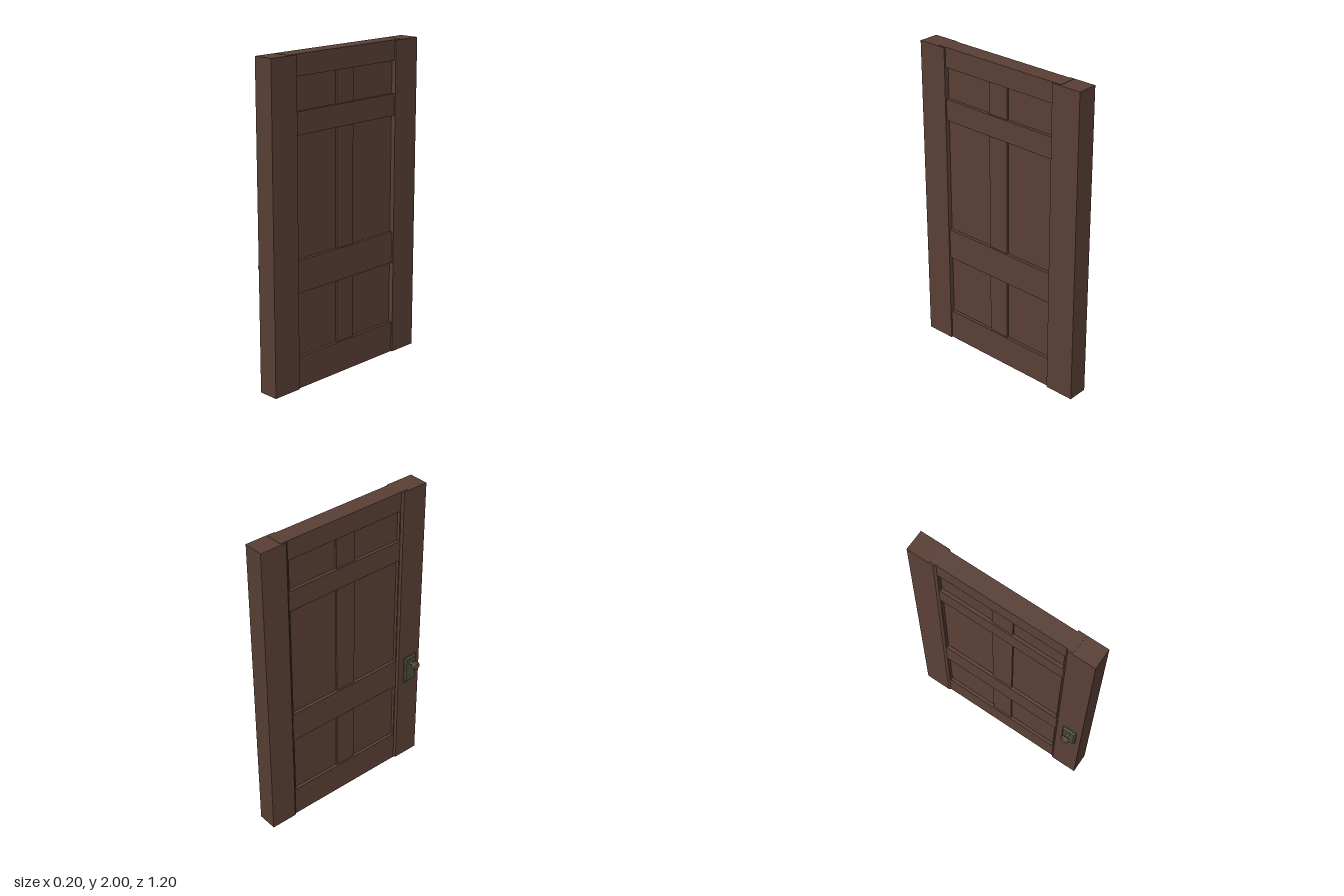
import * as THREE from 'three';

const wood = new THREE.MeshStandardMaterial({ color: 0x5a4036 });
const brass = new THREE.MeshStandardMaterial({ color: 0x62553f });
const darkBrass = new THREE.MeshStandardMaterial({ color: 0x4a4a3a });

export function createModel() {
  const door = new THREE.Group();
  door.name = 'panelDoor';

  const add = (name, geometry, material, parent = door) => {
    const mesh = new THREE.Mesh(geometry, material);
    mesh.name = name;
    parent.add(mesh);
    return mesh;
  };

  // Box given by its lower and upper limits on each axis
  const slab = (name, [x0, x1], [y0, y1], [z0, z1]) => {
    const mesh = add(name, new THREE.BoxGeometry(x1 - x0, y1 - y0, z1 - z0), wood);
    mesh.position.set((x0 + x1) / 2, (y0 + y1) / 2, (z0 + z1) / 2);
  };

  // Stiles: full-height uprights, chamfered on the knob side
  for (const side of [1, -1]) {
    const outline = [[-0.03, 0.6], [0.1, 0.6], [0.1, 0.408], [-0.02, 0.408], [-0.02, 0.415], [-0.03, 0.428]];
    const shape = new THREE.Shape(outline.map(([x, z]) => new THREE.Vector2(x, -z * side)));
    const geometry = new THREE.ExtrudeGeometry(shape, { depth: 1.998, bevelEnabled: false });
    geometry.rotateX(-Math.PI / 2);
    add(side > 0 ? 'leftStile' : 'rightStile', geometry, wood);
  }

  // Rails: crosspieces tenoned into the stiles
  const rails = [[0, 0.2], [0.6, 0.8], [1.54, 1.675], [1.875, 2]];
  rails.forEach((span, i) => slab(`rail${i + 1}`, [-0.02, 0.09], span, [-0.46, 0.46]));

  // Recessed panels and the central muntin of each bay
  for (let i = 0; i < rails.length - 1; i++) {
    const bay = [rails[i][1], rails[i + 1][0]];
    slab(`panelLeft${i + 1}`, [0, 0.07], bay, [0.074, 0.41]);
    slab(`panelRight${i + 1}`, [0, 0.07], bay, [-0.41, -0.064]);
    slab(`muntin${i + 1}`, [-0.01, 0.08], bay, [-0.064, 0.074]);
  }

  // Handle, modelled along +z and turned to point to -x
  const handle = new THREE.Group();
  handle.name = 'handle';
  handle.position.set(-0.03, 0.75, 0.52);
  handle.rotation.y = -Math.PI / 2;
  door.add(handle);

  // Bevelled backplate
  const w = 0.038, bottom = -0.13, top = 0.038;
  const plate = new THREE.Shape([
    new THREE.Vector2(-w, bottom), new THREE.Vector2(w, bottom),
    new THREE.Vector2(w, top), new THREE.Vector2(-w, top),
  ]);
  add('backplate', new THREE.ExtrudeGeometry(plate, {
    depth: 0.008, bevelThickness: 0.01, bevelSize: 0.01, bevelSegments: 1,
  }), darkBrass, handle);

  // Turned stem and knob
  const profile = [[0.01, 0.01], [0.01, 0.045], [0.022, 0.045], [0.027, 0.05], [0.027, 0.066], [0.021, 0.073], [0, 0.073]];
  const knob = new THREE.LatheGeometry(profile.map(([r, h]) => new THREE.Vector2(r, h)), 16);
  knob.rotateX(Math.PI / 2);
  const knobMaterial = brass.clone();
  knobMaterial.flatShading = true;
  add('knob', knob, knobMaterial, handle);

  return door;
}
